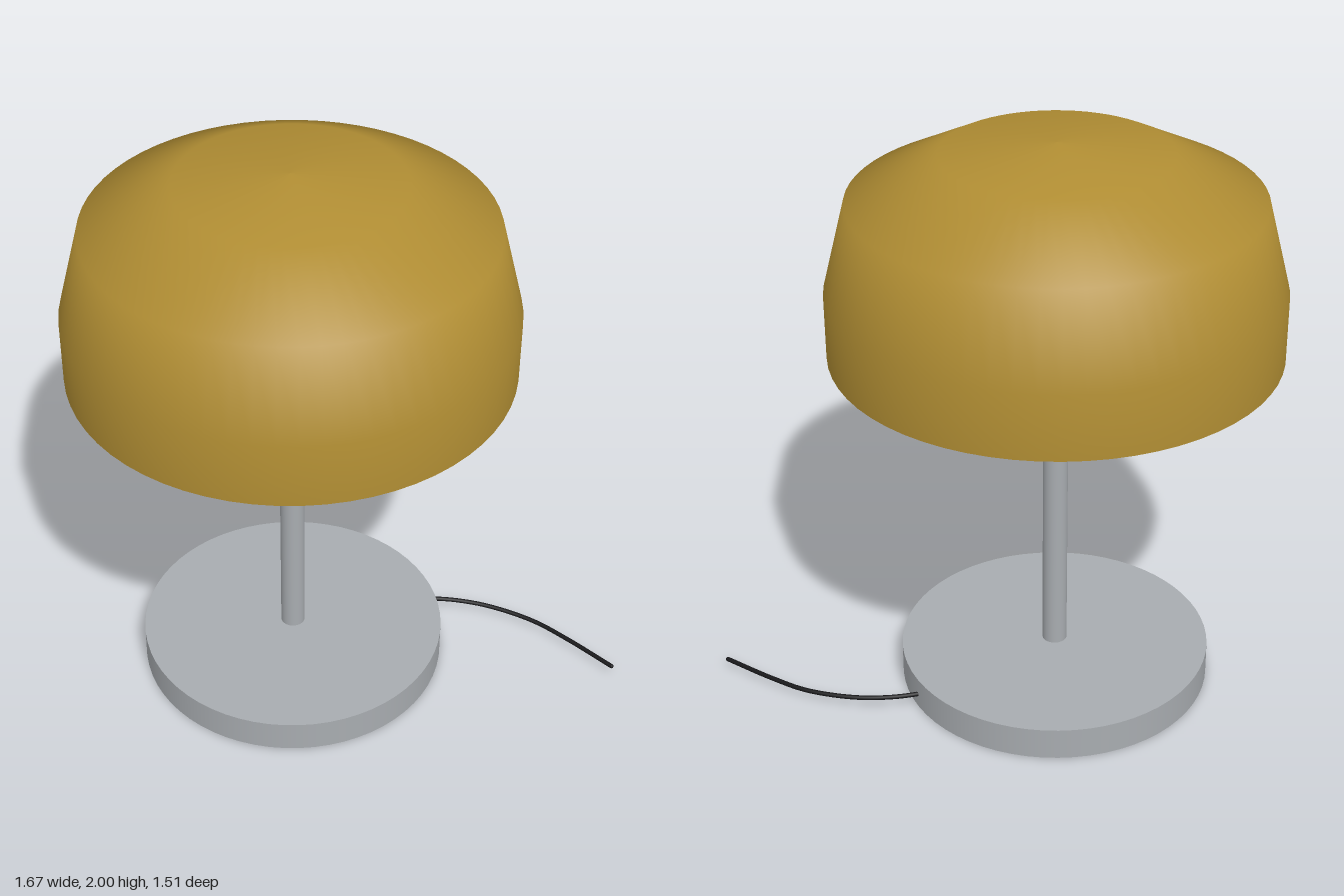
import * as THREE from 'three';

const CX = -0.08; // lamp axis; the cable reaches out to +x

function material(name, color) {
  const m = new THREE.MeshStandardMaterial({ color });
  m.name = name;
  return m;
}

export function createModel() {
  const group = new THREE.Group();
  group.name = 'tableLamp';

  const gold = material('mustardGold', 0xb08d33);
  gold.side = THREE.DoubleSide;
  const grey = material('satinGrey', 0xa8acb0);
  const cream = material('creamDiffuser', 0xd8d0bc);
  const black = material('cableBlack', 0x18181a);

  const add = (name, geometry, mat) => {
    const mesh = new THREE.Mesh(geometry, mat);
    mesh.name = name;
    group.add(mesh);
    return mesh;
  };

  // Upright cylinder on the lamp axis, between two heights
  const disc = (name, radius, y0, y1, mat, sides = 64) => {
    const mesh = add(name, new THREE.CylinderGeometry(radius, radius, y1 - y0, sides), mat);
    mesh.position.set(CX, (y0 + y1) / 2, 0);
  };

  // Foot and stem
  disc('base', 0.545, 0, 0.115, grey);
  disc('pole', 0.043, 0.115, 1.0, grey, 32);
  disc('sleeve', 0.053, 0.985, 1.275, grey, 32);

  // Diffuser plate, just proud of the shade's open rim
  disc('diffuser', 0.642, 1.27, 1.3, cream);

  // Open, hollow shade
  const profile = [
    [0.755, 1.285], [0.755, 1.51], [0.677, 1.815], [0.378, 1.965], [0, 2],
  ].map(([r, y]) => new THREE.Vector2(r, y));
  add('shade', new THREE.LatheGeometry(profile, 64), gold).position.x = CX;

  // Power cable leaving the back of the base
  const path = new THREE.CatmullRomCurve3([
    [0.1, 0.055, -0.45], [0.14, 0.05, -0.505], [0.21, 0.045, -0.575], [0.31, 0.04, -0.645],
    [0.47, 0.035, -0.712], [0.62, 0.033, -0.736], [0.825, 0.031, -0.752],
  ].map((p) => new THREE.Vector3(...p)));
  add('cable', new THREE.TubeGeometry(path, 40, 0.008, 8), black);

  // Cap on the free end of the cable
  const cap = add('cableEnd', new THREE.SphereGeometry(0.008, 8, 6), black);
  cap.position.copy(path.getPoint(1));

  return group;
}
